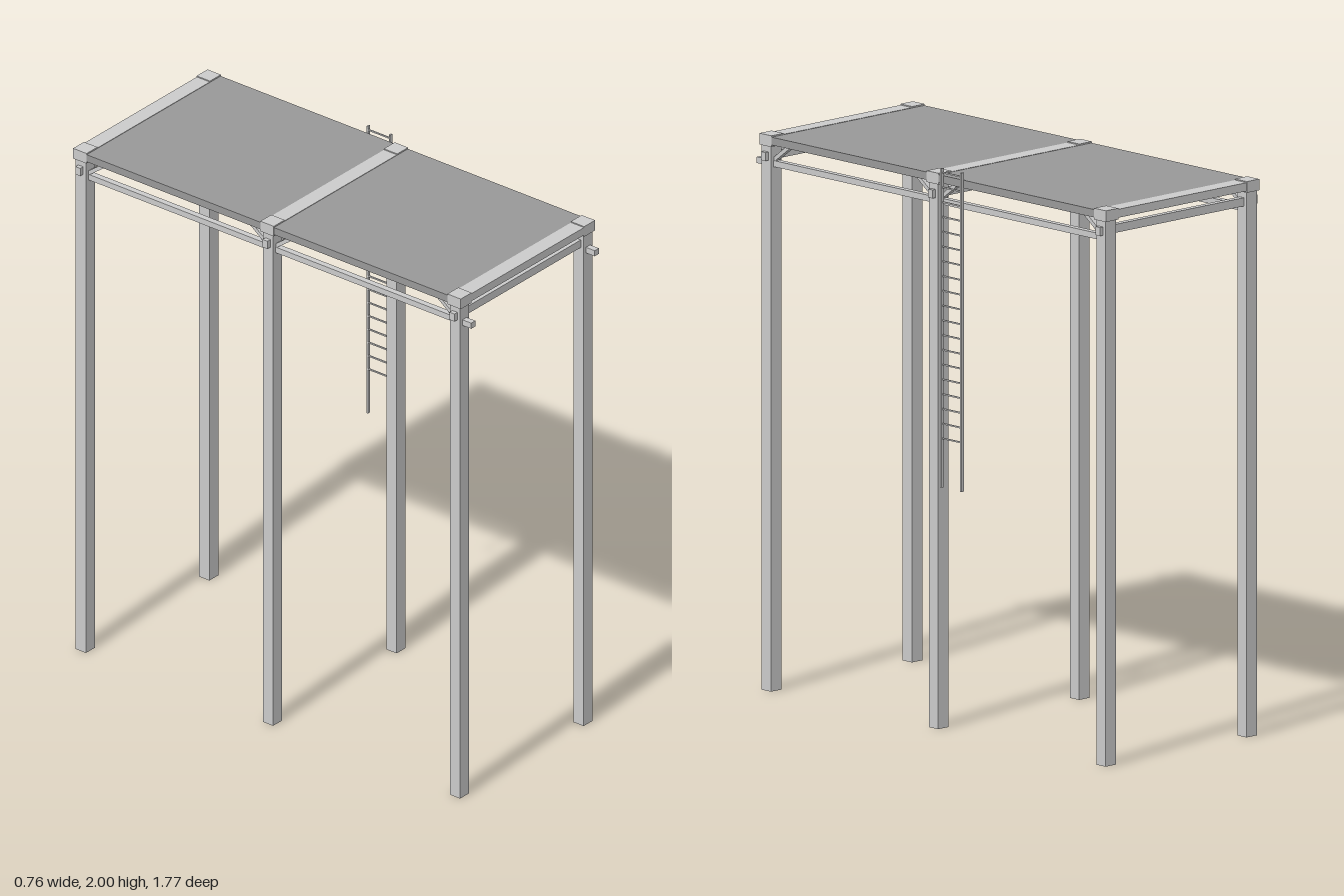
import * as THREE from 'three';

const light = new THREE.MeshStandardMaterial({ color: 0xcccccc });
const dark = new THREE.MeshStandardMaterial({ color: 0x999999 });

export function createModel() {
  const model = new THREE.Group();

  // Box given by its extents along each axis
  const box = (name, [x0, x1], [y0, y1], [z0, z1], material = light, parent = model) => {
    const mesh = new THREE.Mesh(new THREE.BoxGeometry(x1 - x0, y1 - y0, z1 - z0), material);
    mesh.position.set((x0 + x1) / 2, (y0 + y1) / 2, (z0 + z1) / 2);
    mesh.name = name;
    parent.add(mesh);
    return mesh;
  };
  const around = (c, size) => [c - size / 2, c + size / 2];

  const postX = [-0.342, 0.337];
  const postZ = [0.82, -0.017, -0.855];

  // Three frames: posts with caps, a top beam and a lower cross rail
  for (const z of postZ) {
    for (const x of postX) {
      box('post', around(x, 0.05), [0, 1.95], around(z, 0.046));
      box('postCap', around(x, 0.06), [1.938, 1.978], around(z, 0.06));
    }
    box('crossBeam', postX, [1.944, 1.974], around(z, 0.058));
    box('crossRail', [-0.383, 0.377], [1.887, 1.917], around(z, 0.022));
  }

  // Two deck panels between the beams
  for (let i = 0; i < 2; i++) {
    box('deckPanel', [-0.371, 0.366], [1.945, 1.973], [postZ[i + 1] + 0.03, postZ[i] - 0.03], dark);
  }

  // Long rails under the deck, projecting past the front posts
  for (const x of postX) box('sideRail', around(x, 0.023), [1.864, 1.886], [-0.86, 0.882]);

  // Diagonal braces from the posts up to the deck
  const addBrace = (x, z, dir) => {
    const a = new THREE.Vector3(x, 1.888, z + dir * 0.02);
    const b = new THREE.Vector3(x, 1.948, z + dir * 0.1);
    const brace = new THREE.Mesh(new THREE.BoxGeometry(0.02, 0.014, a.distanceTo(b)), light);
    brace.position.copy(a).lerp(b, 0.5);
    brace.lookAt(b);
    brace.name = 'brace';
    model.add(brace);
  };
  for (const x of postX) {
    for (let i = 0; i < 2; i++) {
      addBrace(x, postZ[i], -1);
      addBrace(x, postZ[i + 1], 1);
    }
  }

  // Ladder hung on the left side
  const ladder = new THREE.Group();
  ladder.name = 'ladder';
  model.add(ladder);
  for (const z of [-0.069, -0.169]) {
    box('ladderStile', [0.365, 0.377], [0.866, 2], around(z, 0.006), light, ladder);
  }
  for (let i = 0; i < 19; i++) {
    box('ladderRung', around(0.37, 0.005), around(1.04 + i * 0.0525, 0.005), [-0.169, -0.069], light, ladder);
  }

  return model;
}
